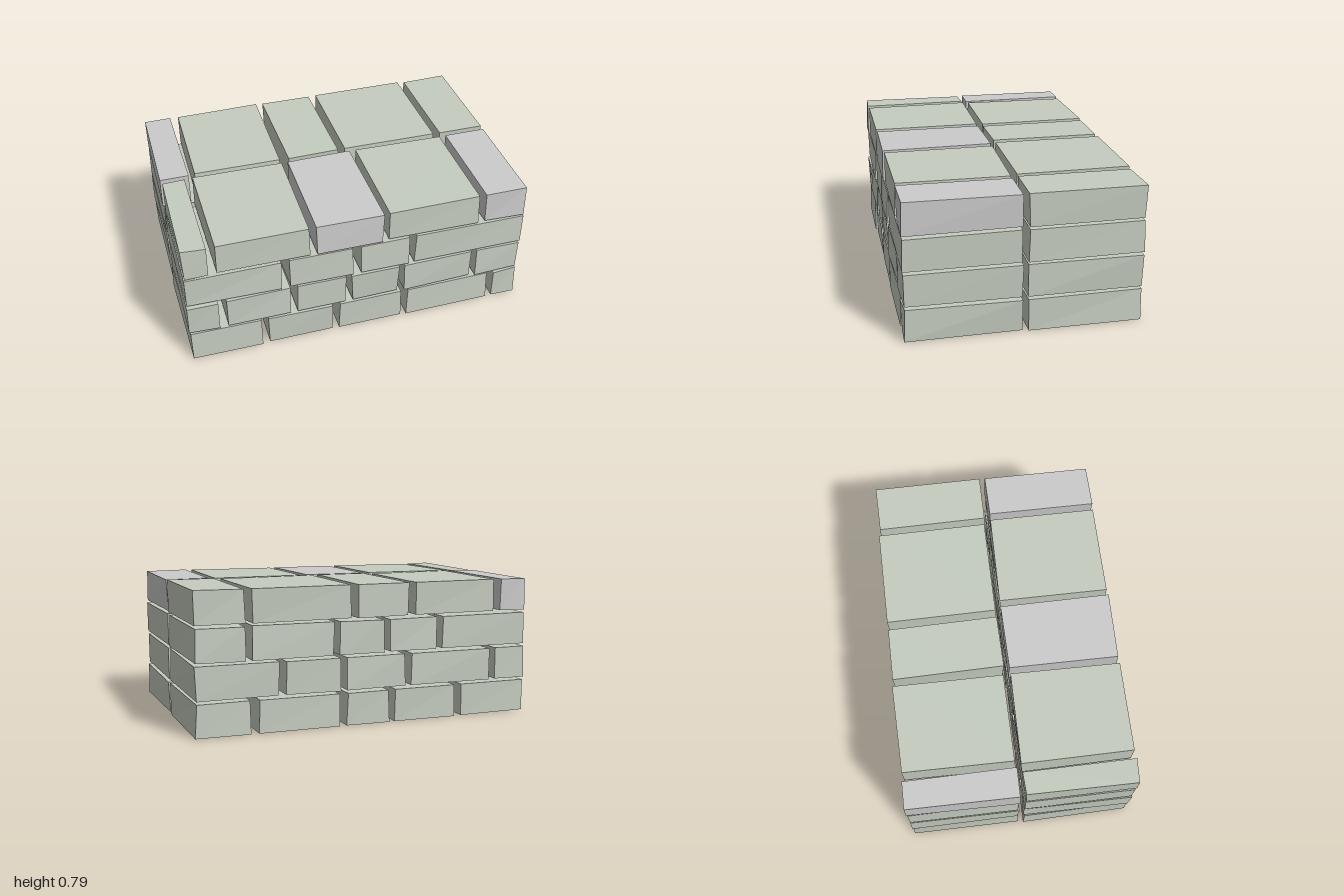
import * as THREE from 'three';

// Small seeded generator for the hand-laid irregularity
let seed = 7;
function rand() {
  seed = (seed * 16807) % 2147483647;
  return seed / 2147483647;
}

const mossy = new THREE.MeshStandardMaterial({ color: 0xc5ccbf, flatShading: true });
const plain = new THREE.MeshStandardMaterial({ color: 0xcccccc, flatShading: true });

// One block: a box whose eight corners are each pulled slightly inward
function block(x0, x1, y0, y1, z0, z1, material) {
  const geo = new THREE.BoxGeometry(x1 - x0, y1 - y0, z1 - z0);
  const pos = geo.attributes.position;
  const pulls = Array.from({ length: 8 }, () => [rand() * 0.012, rand() * 0.005, rand() * 0.012]);
  for (let i = 0; i < pos.count; i++) {
    const x = pos.getX(i), y = pos.getY(i), z = pos.getZ(i);
    const p = pulls[(x > 0 ? 1 : 0) + (y > 0 ? 2 : 0) + (z > 0 ? 4 : 0)];
    pos.setXYZ(i, x - Math.sign(x) * p[0], y - Math.sign(y) * p[1], z - Math.sign(z) * p[2]);
  }
  geo.computeVertexNormals();
  const mesh = new THREE.Mesh(geo, material);
  mesh.position.set((x0 + x1) / 2, (y0 + y1) / 2, (z0 + z1) / 2);
  return mesh;
}

// Centres of the upright joints in each course, bottom to top
const frontJoints = [
  [-0.56, -0.14, 0.28, 0.83],
  [-0.80, -0.39, -0.065, 0.255, 0.705],
  [-0.433, -0.02, 0.31],
  [-0.835, -0.27, 0.15, 0.725],
];
const backJoints = [
  [-0.56, -0.14, 0.155, 0.67],
  [-0.785, -0.24, 0.15, 0.51],
  [-0.435, -0.11, 0.195, 0.70],
  [-0.81, -0.26, 0.09, 0.70],
];

// One leaf of the wall, made of stacked courses
function leaf(name, joints, z0, z1, plainBlocks) {
  const group = new THREE.Group();
  group.name = name;
  const gap = 0.015;
  joints.forEach((row, course) => {
    const y0 = course * 0.2016;
    const edges = [-1 - gap, ...row, 1 + gap];
    for (let i = 0; i < edges.length - 1; i++) {
      const material = plainBlocks.includes(course * 10 + i) ? plain : mossy;
      const brick = block(edges[i] + gap, edges[i + 1] - gap, y0, y0 + 0.19, z0, z1, material);
      brick.name = `${name}Course${course + 1}Brick${i + 1}`;
      group.add(brick);
    }
  });
  return group;
}

export function createModel() {
  seed = 7;
  const model = new THREE.Group();
  model.name = 'brickWall';
  // Numbers in the last list are course * 10 + brick, for the clean grey blocks
  model.add(leaf('front', frontJoints, 0.012, 0.66, [32, 34]));
  model.add(leaf('back', backJoints, -0.66, -0.012, [30]));
  return model;
}
